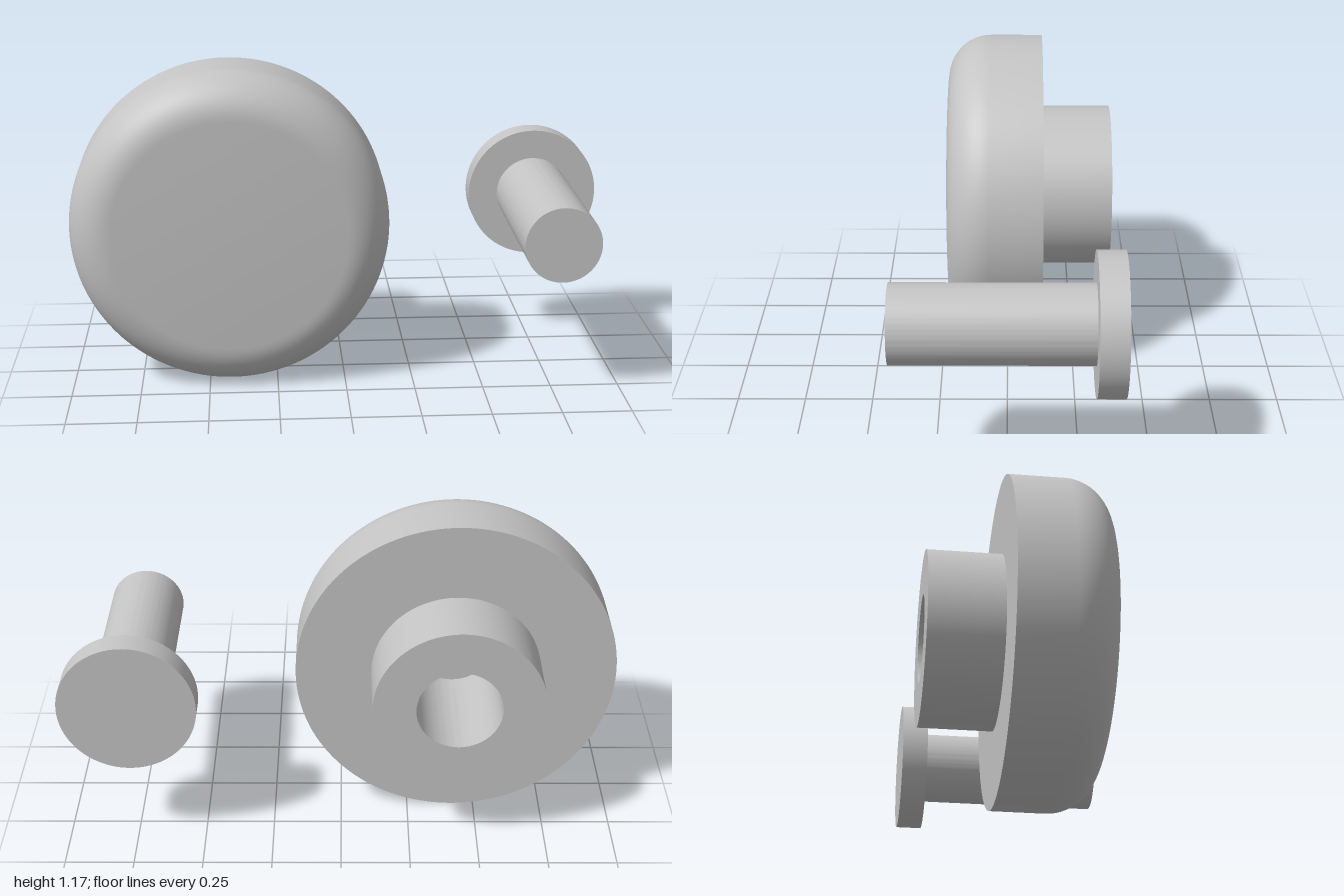
import * as THREE from 'three';
import { toCreasedNormals } from 'three/addons/utils/BufferGeometryUtils.js';

const grey = new THREE.MeshStandardMaterial({ color: 0xc4c4c4 });
grey.name = 'light grey';

// Solid of revolution around the z axis from [radius, z] pairs.
function turned(name, profile, x, y) {
  const points = profile.map(([r, z]) => new THREE.Vector2(r, z));
  const lathe = new THREE.LatheGeometry(points, 128).rotateX(Math.PI / 2);
  const mesh = new THREE.Mesh(toCreasedNormals(lathe, 0.6), grey);
  mesh.name = name;
  mesh.position.set(x, y, 0);
  return mesh;
}

export function createModel() {
  const group = new THREE.Group();
  group.name = 'knobAndPin';

  // Knob: blind hole, hub, wide disc and rounded front rim
  const R = 0.583, front = 0.226, fillet = 0.16;
  const knob = [
    [0, 0.07], [0.153, 0.07], [0.153, -0.392],
    [0.308, -0.392], [0.308, -0.13], [R, -0.13],
  ];
  const steps = 14;
  for (let i = 0; i <= steps; i++) {
    const a = (i / steps) * Math.PI / 2;
    knob.push([R - fillet + fillet * Math.cos(a), front - fillet + fillet * Math.sin(a)]);
  }
  knob.push([0, front]);
  group.add(turned('knob', knob, -0.417, R));

  // Pin: flat round head at the back, plain shaft pointing forward
  const pin = [
    [0, -0.392], [0.246, -0.392], [0.246, -0.295],
    [0.137, -0.295], [0.137, 0.392], [0, 0.392],
  ];
  group.add(turned('pin', pin, 0.754, R + 0.003));

  return group;
}
